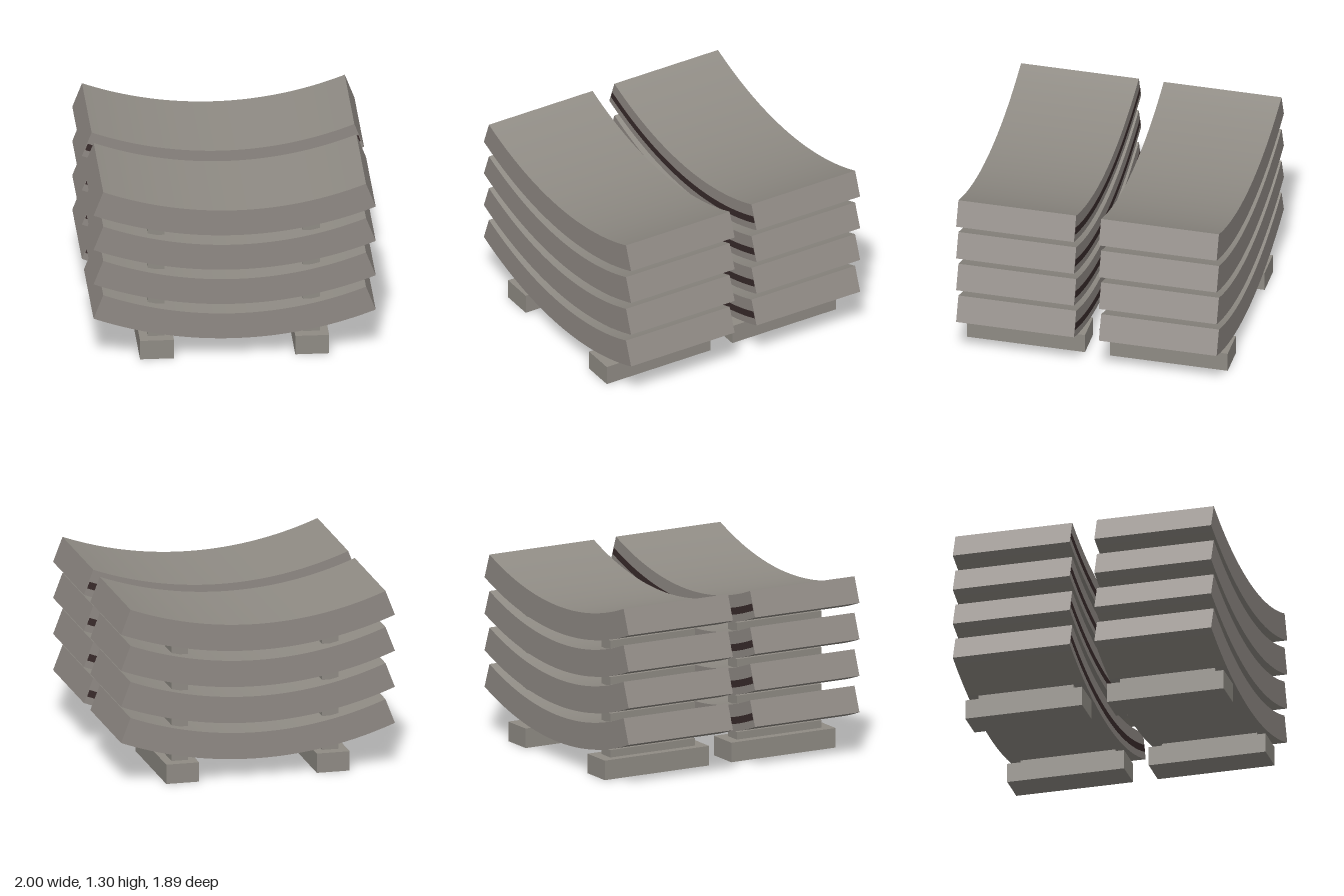
import * as THREE from 'three';

function flat(name, color) {
  const material = new THREE.MeshStandardMaterial({ color });
  material.name = name;
  return material;
}
const stone = flat('warm grey', 0x8f8b84);
const cutStone = flat('rosy grey', 0x8f8984);
const core = flat('dark brown', 0x382a2a);

const PITCH = 0.2655;      // height from one slab to the next
const DEPTH = 0.857;       // length of each stack along z
const STACK_Z = 0.519;     // centre of each stack
const OUTER = 2.787, INNER = 2.595, HALF_ANGLE = 0.367;

// Arc band extruded along z; its centre of curvature is at y = OUTER
function arcGeometry(inner, outer, halfAngle, depth) {
  const shape = new THREE.Shape();
  const mid = -Math.PI / 2;
  shape.absarc(0, OUTER, outer, mid - halfAngle, mid + halfAngle, false);
  shape.absarc(0, OUTER, inner, mid + halfAngle, mid - halfAngle, true);
  shape.closePath();
  const geometry = new THREE.ExtrudeGeometry(shape, { depth, bevelEnabled: false, curveSegments: 32 });
  return geometry.translate(0, 0, -depth / 2);
}

// Slab: material 0 covers the curved faces, material 1 the cut edges all round
function slabGeometry() {
  const geometry = arcGeometry(INNER, OUTER, HALF_ANGLE, DEPTH);

  // A face is curved when its normal points along the arc's radius
  const { position, normal } = geometry.attributes;
  const radius = new THREE.Vector3(), facing = new THREE.Vector3();
  geometry.clearGroups();
  for (let i = 0; i < position.count; i += 3) {
    radius.set(position.getX(i), position.getY(i) - OUTER, 0).normalize();
    facing.fromBufferAttribute(normal, i);
    const material = Math.abs(radius.dot(facing)) > 0.5 ? 0 : 1;
    const last = geometry.groups.at(-1);
    if (last && last.materialIndex === material) last.count += 3;
    else geometry.addGroup(i, 3, material);
  }
  return geometry;
}

function addMesh(parent, geometry, material, name, x, y, z = 0) {
  const mesh = new THREE.Mesh(geometry, material);
  mesh.name = name;
  mesh.position.set(x, y, z);
  parent.add(mesh);
}

export function createModel() {
  const model = new THREE.Group();
  model.name = 'curvedSlabStacks';
  const slab = slabGeometry();
  const stripe = arcGeometry(2.685, 2.735, HALF_ANGLE - 0.002, 0.004);
  const foot = new THREE.BoxGeometry(0.24, 0.142, DEPTH);
  const spacer = new THREE.BoxGeometry(0.12, 0.07, 0.695);

  for (const side of [1, -1]) {
    const stack = new THREE.Group();
    stack.name = side > 0 ? 'frontStack' : 'backStack';
    stack.position.z = side * STACK_Z;

    // Bearers on the ground
    for (const x of [-0.55, 0.55]) addMesh(stack, foot, stone, 'foot', x, 0.071);

    // Slabs with a dark stripe on the edge facing the gap, each on two spacers
    for (let i = 0; i < 4; i++) {
      const y = 0.141 + i * PITCH;
      addMesh(stack, slab, [stone, cutStone], 'slab', 0, y);
      addMesh(stack, stripe, core, 'edgeStripe', 0, y, -side * DEPTH / 2);
      for (const x of [-0.55, 0.55]) addMesh(stack, spacer, stone, 'spacer', x, y + 0.02);
    }
    model.add(stack);
  }
  return model;
}
